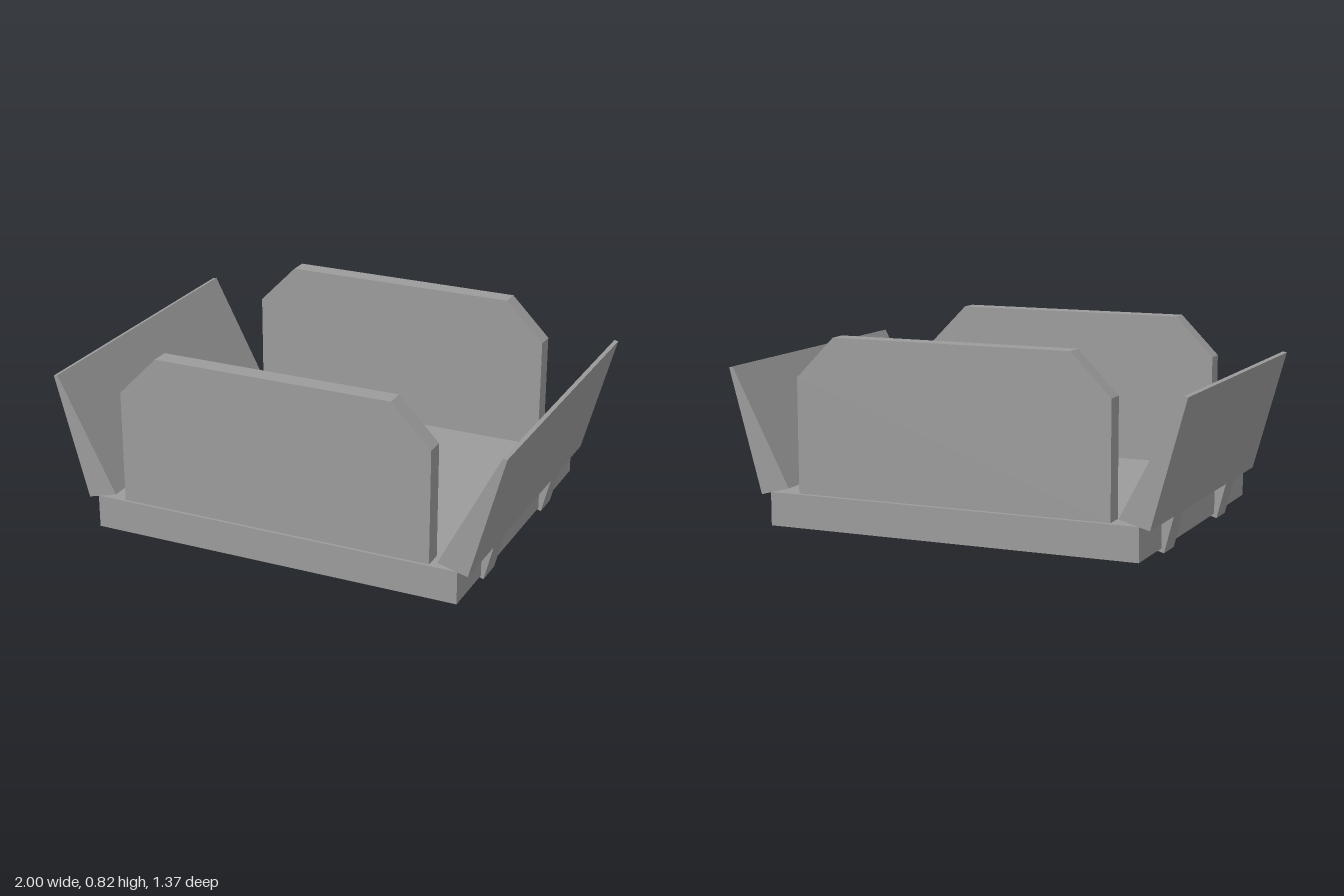
import * as THREE from 'three';

const material = new THREE.MeshStandardMaterial({ color: 0x9c9c9c, flatShading: true });

// Extrudes an outline in x and y from z0 to z1
function prism(name, points, z0, z1) {
  const shape = new THREE.Shape(points.map(([x, y]) => new THREE.Vector2(x, y)));
  const geometry = new THREE.ExtrudeGeometry(shape, { depth: z1 - z0, bevelEnabled: false });
  geometry.translate(0, 0, z0);
  const mesh = new THREE.Mesh(geometry, material);
  mesh.name = name;
  return mesh;
}

export function createModel() {
  const model = new THREE.Group();
  model.name = 'openBox';

  // Floor plate, outlined from above, with two hinge notches on each side
  const edge = 0.812, notch = 0.687, half = 0.687;
  const side = [
    [edge, -half], [edge, -0.423], [notch, -0.423], [notch, -0.265], [edge, -0.265],
    [edge, 0.265], [notch, 0.265], [notch, 0.423], [edge, 0.423], [edge, half],
  ];
  const outline = [...side, ...side.map(([x, y]) => [-x, y]).reverse()];
  const floor = prism('floorPlate', outline, 0, 0.142);
  floor.rotation.x = -Math.PI / 2;
  floor.position.y = 0.024;
  model.add(floor);

  // Upright end walls with clipped top corners
  const wall = [
    [-0.688, 0.166], [0.688, 0.166], [0.688, 0.652],
    [0.518, 0.825], [-0.518, 0.825], [-0.688, 0.652],
  ];
  model.add(prism('frontWall', wall, 0.595, 0.675));
  model.add(prism('backWall', wall, -0.668, -0.588));

  // Outward-leaning tapered flaps and their hinge tabs
  const flap = [[0.727, 0.188], [0.856, 0.153], [1, 0.679], [0.983, 0.683]];
  const tab = [[0.689, 0.036], [0.817, 0], [0.856, 0.153], [0.727, 0.188]];
  for (const [label, s] of [['left', 1], ['right', -1]]) {
    const mirror = (points) => points.map(([x, y]) => [s * x, y]);
    const group = new THREE.Group();
    group.name = label + 'Side';
    group.add(prism(label + 'Flap', mirror(flap), -half, half));
    for (const z of [-0.345, 0.345]) {
      group.add(prism(label + 'HingeTab', mirror(tab), z - 0.06, z + 0.06));
    }
    model.add(group);
  }
  return model;
}
